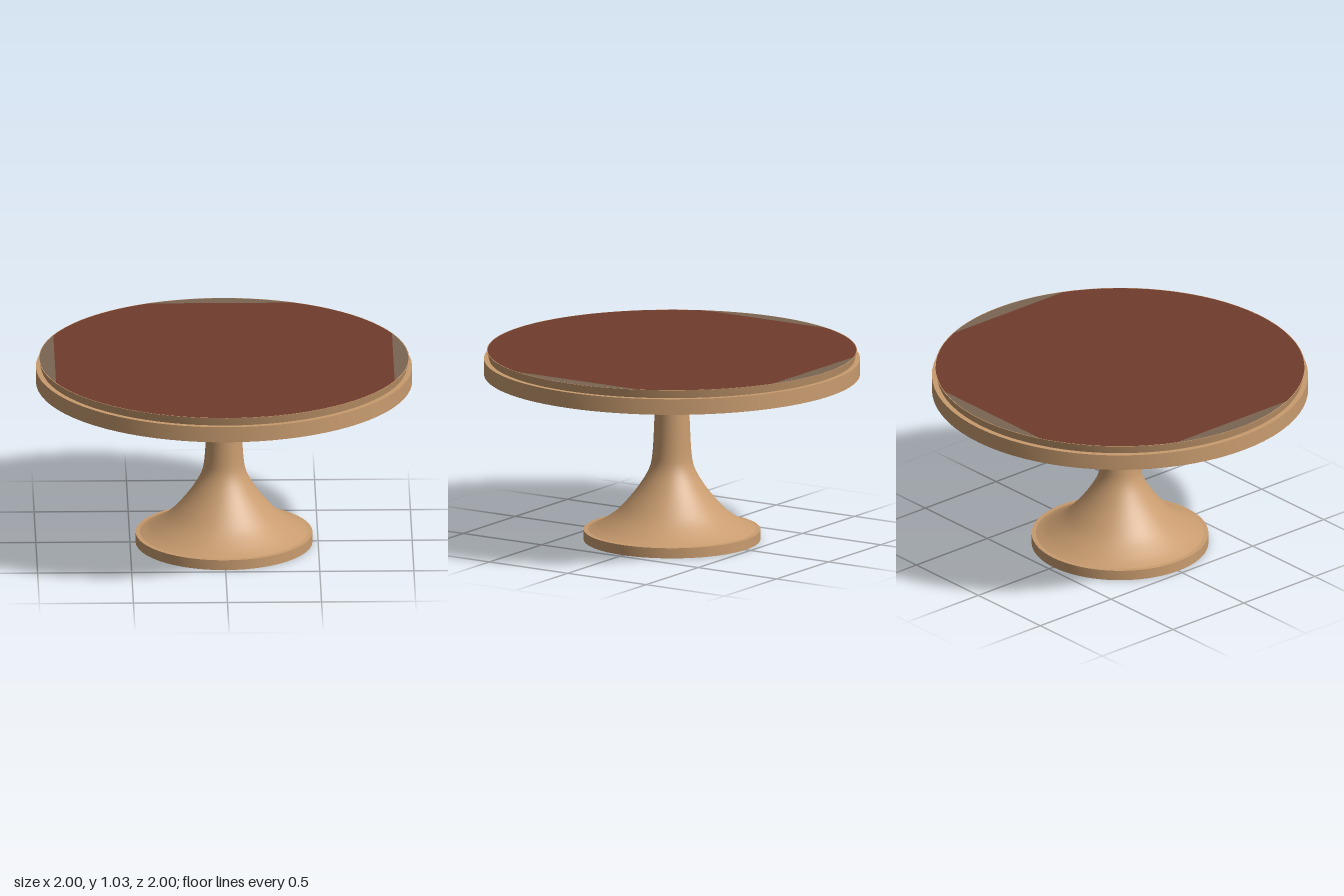
import * as THREE from 'three';
import { toCreasedNormals } from 'three/addons/utils/BufferGeometryUtils.js';

export function createModel() {
  const group = new THREE.Group();
  const material = (name, color) => {
    const m = new THREE.MeshStandardMaterial({ color });
    m.name = name;
    return m;
  };
  const wood = material('tan wood', 0xc99c6f);
  const brown = material('red brown', 0x703d2e);
  const taupe = material('taupe', 0x7a6552);

  const add = (name, geometry, mat) => {
    const mesh = new THREE.Mesh(geometry, mat);
    mesh.name = name;
    group.add(mesh);
    return mesh;
  };
  const lathe = (pairs) =>
    toCreasedNormals(new THREE.LatheGeometry(pairs.map(([r, y]) => new THREE.Vector2(r, y)), 80), 0.6);

  // Foot disc and its underside
  add('foot', lathe([[0, 0], [0.47, 0], [0.47, 0.055], [0.44, 0.057]]), wood);

  // Flared pedestal
  const flare = new THREE.SplineCurve([
    [0.45, 0.055], [0.39, 0.083], [0.305, 0.142], [0.235, 0.215], [0.17, 0.3],
    [0.12, 0.39], [0.103, 0.48], [0.094, 0.65], [0.088, 0.8], [0.086, 0.9],
  ].map(([r, y]) => new THREE.Vector2(r, y)));
  add('pedestal', new THREE.LatheGeometry(flare.getPoints(36), 64), wood);

  // Table rim with a stepped, slightly flared upper lip
  const R = 0.98;
  add('rim', lathe([[1, 0.9], [1, 0.985], [0.972, 0.985], [0.984, 1.03], [R, 1.03]]), wood);

  // Dark underside
  const under = add('underside', new THREE.CircleGeometry(1, 80), brown);
  under.rotation.x = Math.PI / 2;
  under.position.y = 0.9;

  // Top surface, trimmed straight at the left, right and back
  const a = Math.acos(0.9 / R);
  const flat = (name, shape, mat) => {
    const mesh = add(name, new THREE.ShapeGeometry(shape, 40), mat);
    mesh.rotation.x = -Math.PI / 2;
    mesh.position.y = 1.03;
  };
  const panel = new THREE.Shape();
  panel.absarc(0, 0, R, Math.PI + a, 2 * Math.PI - a, false);
  panel.absarc(0, 0, R, a, Math.PI / 2 - a, false);
  panel.absarc(0, 0, R, Math.PI / 2 + a, Math.PI - a, false);
  flat('topPanel', panel, brown);

  // Edge segments that complete the round top
  ['leftSegment', 'backSegment', 'rightSegment'].forEach((name, i) => {
    const c = i * Math.PI / 2;
    const segment = new THREE.Shape();
    segment.absarc(0, 0, R, c - a, c + a, false);
    flat(name, segment, taupe);
  });

  return group;
}
